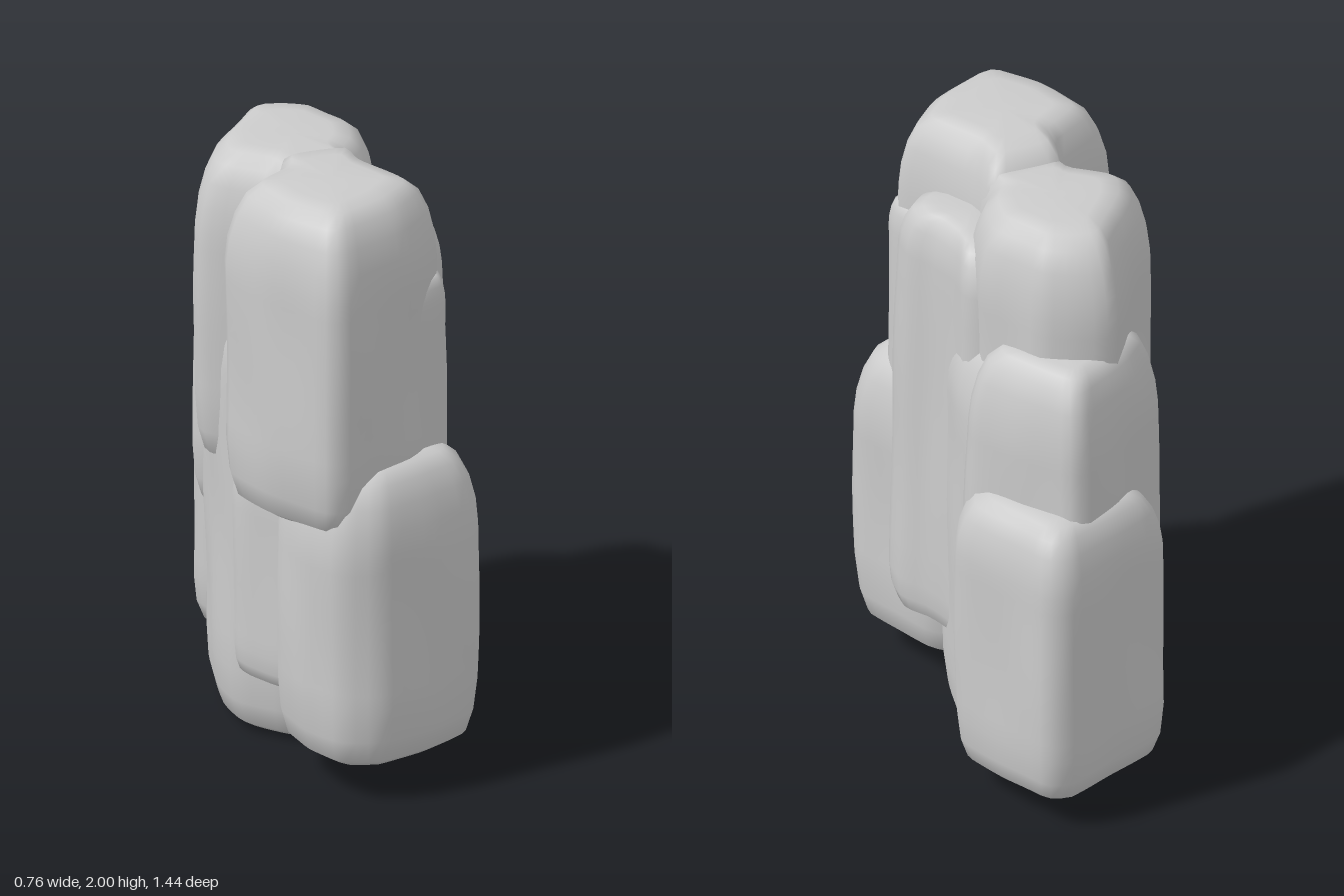
import * as THREE from 'three';

const SIDES = 48;

// Outline corners [x, z] -> evenly spaced ring with softly rounded corners
function outline(corners) {
  const pts = corners.map(([x, z]) => new THREE.Vector2(x, z));
  if (THREE.ShapeUtils.area(pts) < 0) pts.reverse();
  const curve = new THREE.CatmullRomCurve3(
    pts.map((p) => new THREE.Vector3(p.x, 0, p.y)), true, 'catmullrom', 0.2);
  return curve.getSpacedPoints(SIDES).slice(0, SIDES);
}

// Rock pillar: the outline is stacked from y0 to y1, bevelled at both ends and gently eroded
function pillar(name, corners, y0, y1, material, { taper = 1, seed = 0, bevel = 1 } = {}) {
  const ring = outline(corners);
  const c = ring.reduce((s, p) => s.add(p), new THREE.Vector3()).divideScalar(SIDES);
  const b = bevel;
  const levels = [[y0, 0.5], [y0 + 0.006, 0.76], [y0 + 0.035 * b, 0.9], [y0 + 0.11 * b, 0.97]];
  const lo = y0 + 0.22 * b, hi = y1 - 0.27 * b;
  for (let k = 0; k <= 10; k++) levels.push([lo + ((hi - lo) * k) / 10, 1]);
  levels.push([y1 - 0.19 * b, 0.975], [y1 - 0.11 * b, 0.91], [y1 - 0.045 * b, 0.81], [y1 - 0.01, 0.67], [y1, 0.48]);

  const pos = [], index = [];
  levels.forEach(([y, s]) => {
    const narrow = 1 + ((taper - 1) * (y - y0)) / (y1 - y0);
    ring.forEach((p) => {
      const dx = p.x - c.x, dz = p.z - c.z, a = Math.atan2(dz, dx);
      const wear = 0.01 * Math.sin(3 * a + 6 * y + seed) + 0.01 * Math.sin(5 * a - 9 * y + 2 * seed) - 0.006;
      const r = s * narrow * (1 + wear);
      pos.push(c.x + dx * r, y, c.z + dz * r);
    });
  });
  const last = levels.length - 1;
  for (let j = 0; j < last; j++) {
    for (let i = 0; i < SIDES; i++) {
      const n = (i + 1) % SIDES;
      const a = j * SIDES + i, d = j * SIDES + n;
      index.push(a, a + SIDES, d, d, a + SIDES, d + SIDES);
    }
  }
  // end caps
  const bottom = pos.length / 3, top = bottom + 1;
  pos.push(c.x, y0, c.z, c.x, y1, c.z);
  for (let i = 0; i < SIDES; i++) {
    const n = (i + 1) % SIDES;
    index.push(bottom, i, n, top, last * SIDES + n, last * SIDES + i);
  }
  const geometry = new THREE.BufferGeometry();
  geometry.setAttribute('position', new THREE.Float32BufferAttribute(pos, 3));
  geometry.setIndex(index);
  geometry.computeVertexNormals();
  const mesh = new THREE.Mesh(geometry, material);
  mesh.name = name;
  return mesh;
}

export function createModel() {
  const group = new THREE.Group();
  group.name = 'rockPillars';
  const rock = new THREE.MeshStandardMaterial({ color: 0xcccccc });
  const add = (name, corners, y0, y1, options) =>
    group.add(pillar(name, corners, y0, y1, rock, options));

  // front: tall pillar resting on a broad foot, with a thin flake on its side
  add('frontPillar', [[-0.375, 0.31], [-0.36, 0.25], [-0.19, 0.13], [-0.15, 0.02], [0.1, 0.02], [0.13, 0.14],
    [0.21, 0.28], [0.28, 0.42], [0.15, 0.56], [-0.08, 0.69], [-0.15, 0.69], [-0.3, 0.49]], 0.9, 2, { seed: 0.5 });
  add('frontFoot', [[-0.24, 0.4], [-0.21, 0.56], [-0.12, 0.69], [0.01, 0.725], [0.2, 0.66], [0.355, 0.58],
    [0.375, 0.49], [0.31, 0.35], [0.25, 0.2], [0.12, 0.12], [-0.14, 0.15]], 0.11, 1.12, { seed: 2 });
  add('sideFlake', [[0.12, 0.3], [0.25, 0.3], [0.29, 0.4], [0.28, 0.47], [0.15, 0.53]], 0.95, 1.69,
    { seed: 1, bevel: 0.4 });

  // middle: tall pillar, its wide base and the slabs leaning on both sides
  add('middlePillar', [[-0.38, -0.07], [-0.345, -0.17], [-0.23, -0.31], [-0.13, -0.45], [-0.09, -0.46],
    [0, -0.44], [0.1, -0.39], [0.16, -0.29], [0.22, -0.18], [0.2, -0.01], [0.13, 0.1], [0.12, 0.2],
    [-0.16, 0.2], [-0.2, 0.11], [-0.365, -0.01]], 0.88, 1.95, { seed: 3.2 });
  add('middleBase', [[-0.32, -0.05], [-0.29, 0.1], [-0.15, 0.24], [0.1, 0.26], [0.23, 0.12], [0.27, -0.1],
    [0.21, -0.31], [-0.1, -0.35], [-0.28, -0.3]], 0, 1.5, { seed: 4.1, taper: 1.04 });
  add('leftSlab', [[-0.08, 0.1], [-0.05, 0.33], [0.12, 0.39], [0.27, 0.37], [0.35, 0.3], [0.35, 0.19],
    [0.3, 0.11], [0.26, -0.02], [0.26, -0.14], [0.18, -0.2], [0.05, -0.12]], 0.32, 1.8,
    { seed: 5, bevel: 0.6, taper: 0.88 });
  add('rightSlab', [[-0.32, 0.17], [-0.3, 0.25], [-0.18, 0.4], [0, 0.35], [0, 0], [-0.2, 0.02]], 0.25, 1.02,
    { seed: 6, bevel: 0.5 });

  // back: two pillars stepping down
  add('backPillar', [[-0.325, -0.28], [-0.315, -0.35], [-0.22, -0.45], [-0.1, -0.54], [0.03, -0.62], [0.09, -0.61],
    [0.2, -0.46], [0.3, -0.29], [0.28, -0.2], [0, -0.15], [-0.27, -0.2]], 0.6, 1.55, { seed: 7.3, taper: 0.96 });
  add('backFoot', [[-0.265, -0.5], [-0.23, -0.55], [-0.05, -0.64], [0.12, -0.72], [0.2, -0.7], [0.26, -0.58],
    [0.365, -0.35], [0.3, -0.2], [0.05, -0.2], [-0.23, -0.4]], 0.09, 1.08, { seed: 8.4, bevel: 0.8 });

  return group;
}
